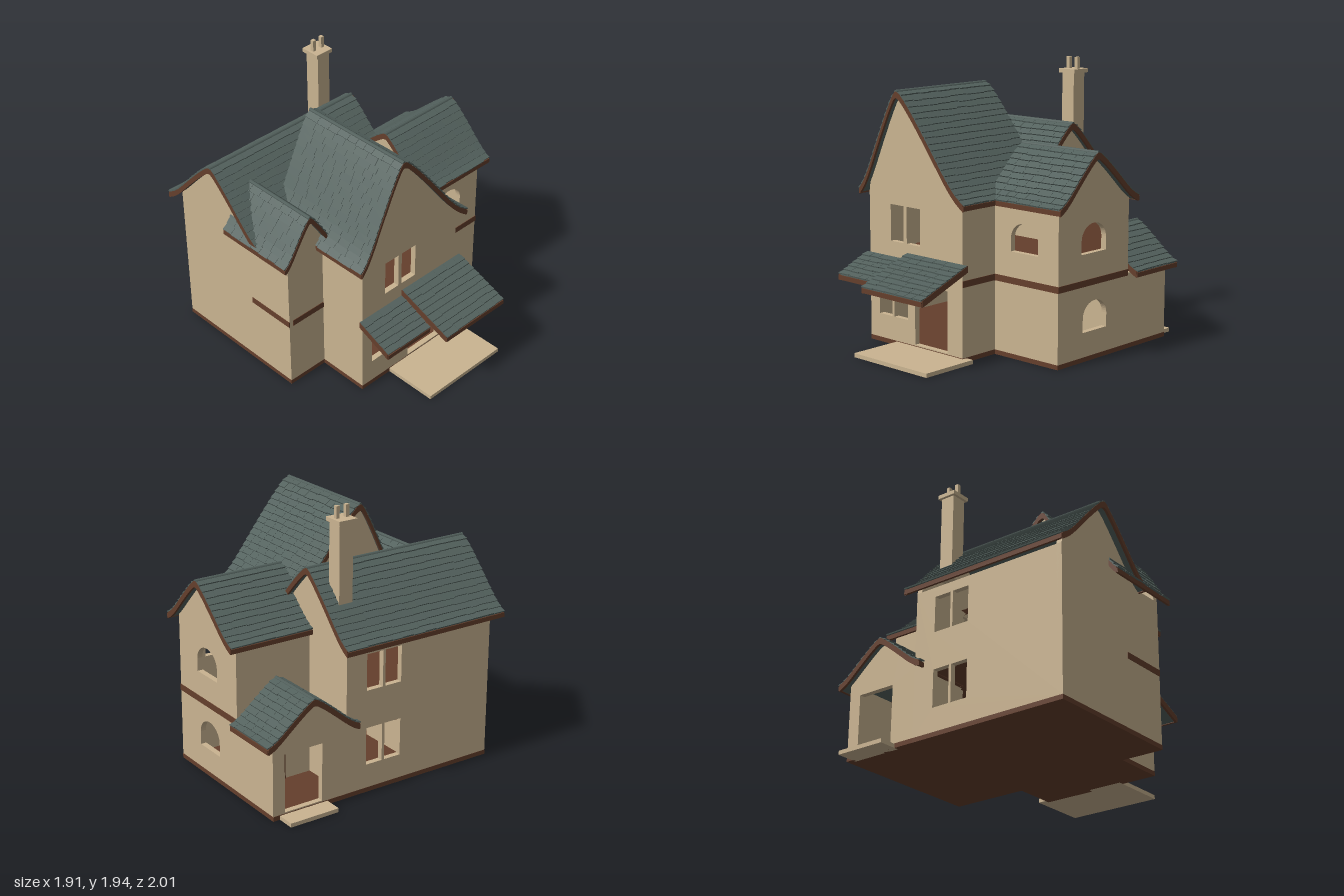
import * as THREE from 'three';
import { mergeGeometries } from 'three/addons/utils/BufferGeometryUtils.js';

const mat = (name, color) => {
  const m = new THREE.MeshStandardMaterial({ color });
  m.name = name;
  return m;
};

export function createModel() {
  const plaster = mat('plaster', 0xcab491);
  const slate = mat('slate', 0x53615d);
  const timber = mat('timber', 0x653f2c);
  const house = new THREE.Group();
  house.name = 'house';

  let seed = 7;
  const rand = () => (seed = (seed * 16807) % 2147483647) / 2147483647;
  const v2 = (x, y) => new THREE.Vector2(x, y);

  const add = (name, geo, material, parent = house) => {
    const m = new THREE.Mesh(geo, material);
    m.name = name;
    parent.add(m);
    return m;
  };
  // Box given by its limits on each axis
  const block = (name, material, x0, x1, y0, y1, z0, z1, parent) => {
    const g = new THREE.BoxGeometry(x1 - x0, y1 - y0, z1 - z0);
    g.translate((x0 + x1) / 2, (y0 + y1) / 2, (z0 + z1) / 2);
    return add(name, g, material, parent);
  };
  const prism = (shape, w0, depth) => {
    const g = new THREE.ExtrudeGeometry(shape, { depth, bevelEnabled: false, curveSegments: 12 });
    g.translate(0, 0, w0);
    return g;
  };
  // In a turned group, local x is -z of the house and local z is x of the house
  const frame = (name, turned) => {
    const g = new THREE.Group();
    g.name = name;
    if (turned) g.rotation.y = Math.PI / 2;
    house.add(g);
    return g;
  };

  // Swept gable slope from ridge (u, top) to eave (u + run, eave)
  const steps = [[0, 1], [0.07, 0.965], [0.25, 0.785], [0.5, 0.5], [0.72, 0.24], [0.87, 0.09], [1, 0]];
  const slope = (r, run) =>
    new THREE.SplineCurve(steps.map(([t, h]) => v2(r.u + run * t, r.eave + (r.top - r.eave) * h)));

  // Roofs: shell, barge boards, eave boards and overlapping slates
  const buildRoof = (name, turned, curves, w0, w1) => {
    const g = frame(name, turned);
    const halves = curves.map(c => c.getPoints(14));
    const line = halves.length > 1 ? [...halves[0].slice().reverse(), ...halves[1].slice(1)] : halves[0];
    const band = (lift, drop) => new THREE.Shape([
      ...line.map(p => v2(p.x, p.y + lift)),
      ...line.slice().reverse().map(p => v2(p.x, p.y - drop)),
    ]);
    add('roofShell', prism(band(0, 0.035), w0 + 0.01, w1 - w0 - 0.02), slate, g);
    for (const w of [w0, w1 - 0.018]) add('bargeBoard', prism(band(0.004, 0.04), w, 0.018), timber, g);
    const tiles = [];
    for (const c of curves) {
      const rows = Math.max(2, Math.round(c.getLength() / 0.05));
      const p = c.getSpacedPoints(rows);
      const s = Math.sign(p[rows].x - p[0].x);
      const e = p[rows];
      block('eaveBoard', timber, e.x - 0.008, e.x + 0.008, e.y - 0.036, e.y - 0.004, w0 + 0.002, w1 - 0.002, g);
      for (let i = 0; i < rows; i++) {
        const d = p[i + 1].clone().sub(p[i]).normalize();
        const n = v2(-d.y, d.x).multiplyScalar(s);
        let w = w0 + 0.002;
        while (w < w1 - 0.004) {
          let next = w + 0.07 + 0.05 * rand();
          if (next > w1 - 0.04) next = w1 - 0.002;
          const a = p[i].clone().addScaledVector(n, 0.001);
          const b = p[i + 1].clone().addScaledVector(n, 0.011).addScaledVector(d, 0.002 + 0.008 * rand());
          const t = new THREE.BoxGeometry(a.distanceTo(b), 0.009, next - w - 0.002);
          t.rotateZ(Math.atan2(b.y - a.y, b.x - a.x));
          t.translate((a.x + b.x) / 2, (a.y + b.y) / 2, (w + next) / 2);
          tiles.push(t);
          w = next;
        }
      }
    }
    if (halves.length > 1) {
      const cap = new THREE.CylinderGeometry(0.014, 0.014, w1 - w0 - 0.004, 6);
      cap.rotateX(Math.PI / 2);
      cap.translate(halves[0][0].x, halves[0][0].y + 0.001, (w0 + w1) / 2);
      tiles.push(cap.toNonIndexed());
    }
    add('slates', mergeGeometries(tiles.map(t => (t.index ? t.toNonIndexed() : t))), slate, g);
  };

  const roofs = {
    back: { u: 0.48, l: 0.46, r: 0.46, top: 1.495, eave: 1.07, turned: true, w: [-0.94, 0.36] },
    front: { u: -0.25, l: 0.37, r: 0.62, top: 1.76, eave: 1.07, turned: false, w: [-0.24, 0.63] },
    west: { u: -0.72, l: 0.22, r: 0.22, top: 1.37, eave: 1.07, turned: false, w: [-0.36, 0.255] },
    east: { u: 0.055, l: 0.375, r: 0.425, top: 1.4, eave: 1.07, turned: true, w: [0.27, 0.94] },
    porch: { u: 0.59, l: 0.35, r: 0.35, top: 0.79, eave: 0.54, turned: false, w: [-0.92, -0.47] },
  };
  for (const [k, r] of Object.entries(roofs))
    buildRoof(k + 'Roof', r.turned, [slope(r, -r.l), slope(r, r.r)], ...r.w);
  // Lean-to roofs over the front door and window
  buildRoof('doorCanopy', true, [new THREE.SplineCurve([v2(-0.58, 0.663), v2(-0.995, 0.503)])], -0.2, 0.37);
  buildRoof('windowCanopy', true, [new THREE.SplineCurve([v2(-0.58, 0.618), v2(-0.845, 0.503)])], -0.6, -0.2);

  // Walls: panels with openings and an optional gable top
  const rect = (a, b, y0, y1) => new THREE.Path([v2(a, y0), v2(b, y0), v2(b, y1), v2(a, y1)]);
  const arch = (a, b, y0, y1) => {
    const p = new THREE.Path();
    const r = (b - a) / 2, h = 0.11;
    p.moveTo(a, y0).lineTo(b, y0).lineTo(b, y1 - h);
    p.absellipse((a + b) / 2, y1 - h, r, h, 0, Math.PI, false);
    p.lineTo(a, y0);
    return p;
  };
  const wall = (name, turned, a, b, w, { y0 = 0.03, y1 = 1.055, roof, holes = [] } = {}) => {
    const pts = [v2(a, y0), v2(b, y0), v2(b, y1)];
    if (roof) {
      const line = [...slope(roof, roof.r).getPoints(14).reverse(), ...slope(roof, -roof.l).getPoints(14).slice(1)];
      pts.push(...line.filter(p => p.x > a + 0.005 && p.x < b - 0.005).map(p => v2(p.x, p.y - 0.018)));
    }
    pts.push(v2(a, y1));
    const s = new THREE.Shape(pts);
    s.holes.push(...holes);
    add(name, prism(s, w, 0.04), plaster, frame(name, turned));
  };
  const pair = (a, b, c, d, y0, y1) => [rect(a, b, y0, y1), rect(c, d, y0, y1)];

  wall('frontWall', false, -0.57, 0.32, 0.54, {
    roof: roofs.front,
    holes: [...pair(-0.36, -0.235, -0.205, -0.075, 0.73, 0.985),
      ...pair(-0.48, -0.355, -0.335, -0.2, 0.2, 0.465), rect(-0.13, 0.18, 0.04, 0.465)],
  });
  wall('frontGableBack', false, -0.57, 0.32, -0.21, { y0: 1.04, roof: roofs.front });
  wall('frontSideWall', true, -0.58, -0.2, -0.57);
  wall('frontSideWall', true, -0.58, -0.27, 0.28);
  wall('backWall', false, -0.88, 0.31, -0.87, {
    holes: [...pair(-0.13, 0, 0.02, 0.15, 0.73, 0.985), ...pair(-0.13, 0, 0.02, 0.15, 0.2, 0.465)],
  });
  wall('westWall', true, -0.2, 0.87, -0.88, { roof: roofs.back });
  wall('westFrontWall', false, -0.88, -0.55, 0.16, { roof: roofs.west });
  wall('backEastGable', true, 0.07, 0.87, 0.27, { y0: 1.04, roof: roofs.back });
  wall('backEastWall', true, 0.45, 0.87, 0.27);
  wall('eastWall', true, -0.27, 0.45, 0.84, {
    roof: roofs.east,
    holes: [arch(-0.04, 0.21, 0.73, 0.93), arch(-0.02, 0.225, 0.2, 0.405)],
  });
  wall('eastWestGable', true, -0.27, 0.45, 0.3, { y0: 1.04, roof: roofs.east });
  wall('eastFrontWall', false, 0.28, 0.88, 0.23, { holes: [arch(0.465, 0.705, 0.73, 0.93)] });
  wall('eastBackWall', false, 0.29, 0.88, -0.45);
  wall('porchWall', false, 0.31, 0.88, -0.87, {
    y1: 0.53, roof: roofs.porch, holes: [rect(0.5, 0.79, 0.04, 0.45)],
  });
  wall('porchSideWall', true, 0.45, 0.87, 0.84, { y1: 0.53 });

  // Ground plinth and upper floor share one outline
  const floor = (name, y, h, i, backZ) => {
    const s = new THREE.Shape([
      [-0.88 + i, 0.87 - i], [-0.88 + i, -0.2 + i], [-0.57 + i, -0.2 + i], [-0.57 + i, -0.58 + i],
      [0.32 - i, -0.58 + i], [0.32 - i, -0.27 + i], [0.88 - i, -0.27 + i], [0.88 - i, backZ - i],
      [0.31 - i, backZ - i], [0.31 - i, 0.87 - i],
    ].map(p => v2(...p)));
    const g = prism(s, 0, h);
    g.rotateX(-Math.PI / 2);
    g.translate(0, y, 0);
    add(name, g, timber);
  };
  floor('plinth', 0, 0.032, -0.001, 0.871);
  floor('upperFloor', 0.51, 0.025, 0.02, 0.45);

  // Timber band round the first floor
  const band = (...l) => block('timberBand', timber, l[0], l[1], 0.512, 0.556, l[2], l[3]);
  band(0.32, 0.884, 0.266, 0.274);
  band(0.876, 0.884, -0.45, 0.274);
  band(0.316, 0.324, 0.27, 0.58);
  band(-0.85, -0.57, 0.196, 0.204);
  band(-0.884, -0.876, -0.17, 0.2);

  // Doorsteps
  block('frontStep', plaster, -0.31, 0.38, 0, 0.028, 0.545, 0.975);
  block('backStep', plaster, 0.46, 0.83, 0, 0.028, -1, -0.84);

  // Doors and staircase inside
  block('porchDoor', timber, 0.51, 0.78, 0.03, 0.45, -0.458, -0.45);
  block('upstairsDoor', timber, 0.46, 0.71, 0.535, 0.87, -0.41, -0.402);
  block('stairLanding', plaster, -0.55, -0.352, 0.03, 0.27, -0.8, -0.2);
  for (let i = 0; i < 8; i++)
    block('stair', timber, -0.55, -0.352, 0.27 + i * 0.03, 0.298 + i * 0.03, -0.8, -0.25 - i * 0.06);

  // Chimney
  block('chimneyStack', plaster, 0.155, 0.26, 1.2, 1.83, -0.71, -0.597);
  block('chimneyCap', plaster, 0.135, 0.277, 1.83, 1.858, -0.73, -0.583);
  for (const x of [0.155, 0.23])
    block('chimneyPot', plaster, x, x + 0.026, 1.858, 1.94, -0.667, -0.64);

  return house;
}
